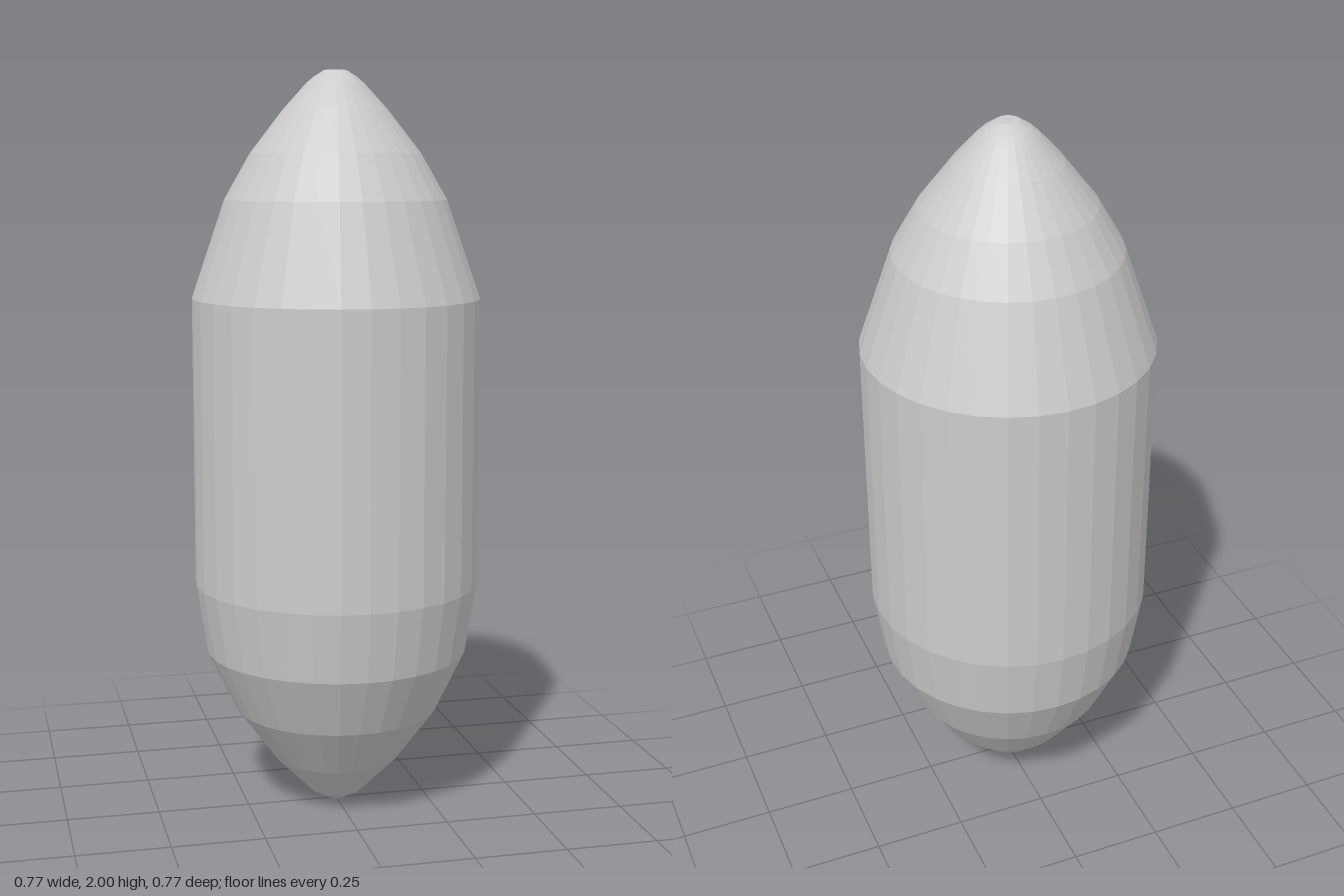
import * as THREE from 'three';

const SIDES = 32;

// Faceted surface of revolution from [radius, height] points, bottom to top.
function turned(name, profile, material) {
  const points = profile.map(([r, y]) => new THREE.Vector2(r, y));
  const mesh = new THREE.Mesh(new THREE.LatheGeometry(points, SIDES), material);
  mesh.name = name;
  return mesh;
}

export function createModel() {
  const group = new THREE.Group();
  group.name = 'capsule';
  const material = new THREE.MeshStandardMaterial({ color: 0xcccccc, flatShading: true });

  // Rounded tail tapering to a small blunt tip
  group.add(turned('tail', [
    [0, 0], [0.02, 0.002], [0.07, 0.03], [0.172, 0.132],
    [0.278, 0.275], [0.356, 0.44], [0.386, 0.63],
  ], material));

  // Straight middle section
  group.add(turned('body', [[0.386, 0.63], [0.386, 1.405]], material));

  // Pointed nose with a small flat cap
  const nose = turned('nose', [
    [0.386, 1.405], [0.296, 1.665], [0.227, 1.785], [0.14, 1.897],
    [0.08, 1.963], [0.06, 1.981], [0.03, 2], [0, 2],
  ], material);

  // The nose leans very slightly off the axis toward its tip
  const pos = nose.geometry.attributes.position;
  for (let i = 0; i < pos.count; i++) {
    const t = (pos.getY(i) - 1.405) / 0.595;
    pos.setX(i, pos.getX(i) - 0.005 * t);
    pos.setZ(i, pos.getZ(i) + 0.011 * t);
  }
  nose.geometry.computeVertexNormals();
  group.add(nose);

  return group;
}
